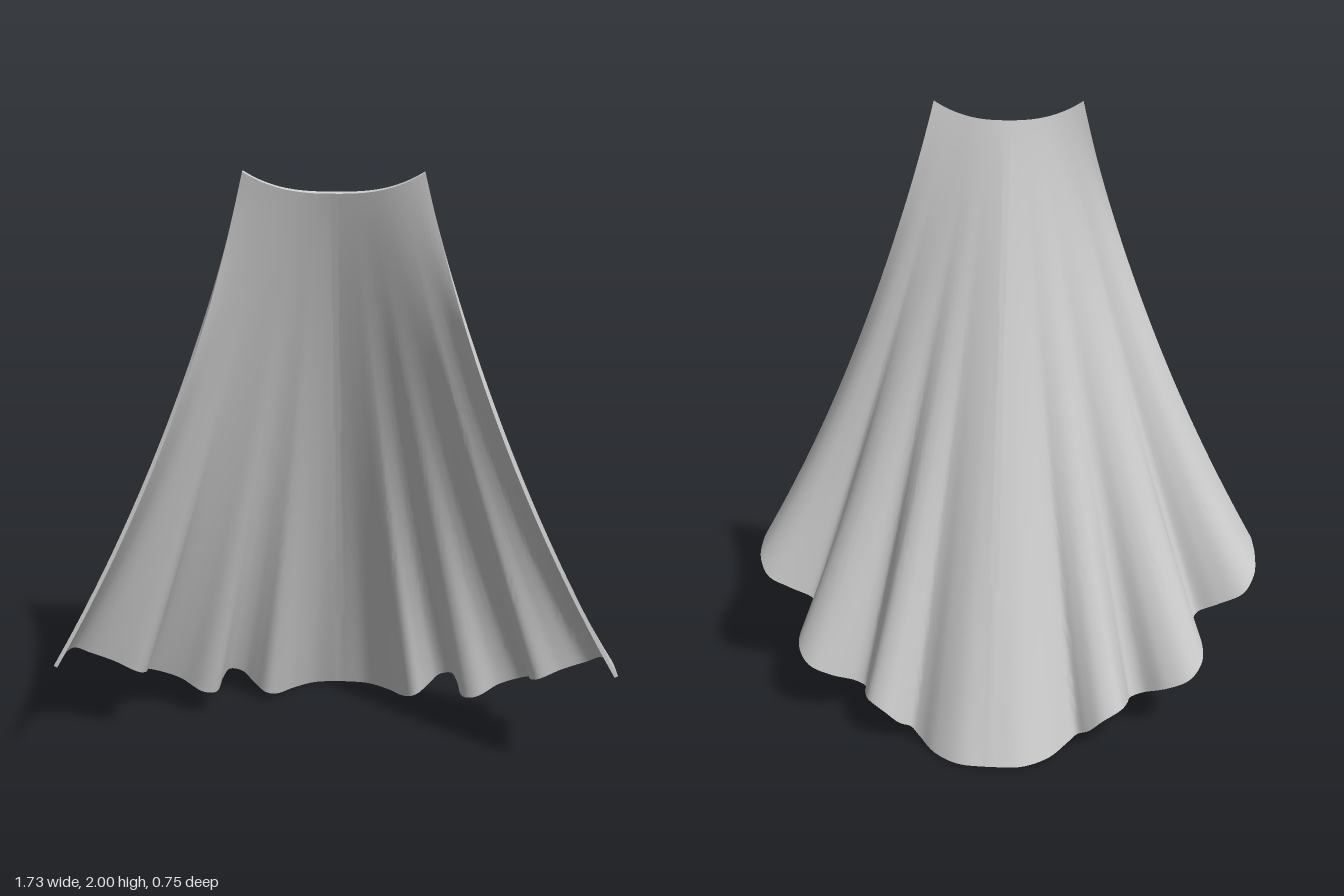
import * as THREE from 'three';
import { toCreasedNormals } from 'three/addons/utils/BufferGeometryUtils.js';

const COLS = 240, ROWS = 56, THICKNESS = 0.012;

const curve = (pts) => new THREE.CatmullRomCurve3(pts.map((p) => new THREE.Vector3(...p)), false, 'centripetal');

// Pleated hem, from the middle of the back to the front edge (left half)
const hem = curve([
  [0, 0.005, -0.37], [0.1, 0.005, -0.36], [0.18, 0.01, -0.31], [0.235, 0.025, -0.245],
  [0.27, 0.045, -0.22], [0.31, 0.07, -0.24], [0.355, 0.115, -0.25], [0.405, 0.14, -0.225],
  [0.425, 0.135, -0.17], [0.44, 0.12, -0.1], [0.48, 0.13, -0.085], [0.56, 0.165, -0.115],
  [0.63, 0.195, -0.11], [0.67, 0.235, -0.06], [0.67, 0.275, 0.01], [0.645, 0.31, 0.08],
  [0.66, 0.33, 0.115], [0.74, 0.37, 0.112], [0.815, 0.405, 0.12], [0.85, 0.45, 0.165],
  [0.86, 0.485, 0.25], [0.86, 0.5, 0.372],
]);

// The same hem with the pleats ironed out
const smoothHem = curve([
  [0, 0.005, -0.37], [0.22, 0.03, -0.29], [0.41, 0.12, -0.18],
  [0.59, 0.22, -0.03], [0.75, 0.37, 0.14], [0.86, 0.5, 0.372],
]);

// Point on the cloth: u runs -1..1 across, t runs 0..1 from neckline to hem
function clothPoint(u, t) {
  const side = Math.sign(u), a = Math.abs(u);
  const top = new THREE.Vector3(0.24 * a, 1.94 + 0.06 * a ** 2.5, 0.305 + 0.03 * Math.sin(a * Math.PI / 2) ** 2);
  const base = smoothHem.getPointAt(a);
  const pleat = hem.getPointAt(a).sub(base);
  const flare = t - 0.4 * a * a * t * (1 - t);
  const p = new THREE.Vector3(
    THREE.MathUtils.lerp(top.x, base.x, flare),
    THREE.MathUtils.lerp(top.y, base.y, t),
    THREE.MathUtils.lerp(top.z, base.z, t) - 0.27 * a ** 4 * t * (1 - t) ** 2,
  );
  p.addScaledVector(pleat, t ** 2.5); // pleats deepen towards the hem
  p.x *= side;
  return p;
}

function clothGeometry() {
  const w = COLS + 1, count = w * (ROWS + 1);
  const mid = [];
  for (let j = 0; j <= ROWS; j++)
    for (let i = 0; i <= COLS; i++) mid.push(...clothPoint((2 * i) / COLS - 1, j / ROWS));

  const lining = [], outer = [], rim = [];
  for (let j = 0; j < ROWS; j++)
    for (let i = 0; i < COLS; i++) {
      const a = j * w + i, b = a + w, c = a + 1, d = b + 1;
      lining.push(a, b, c, c, b, d);
      outer.push(...[a, c, b, c, d, b].map((k) => k + count));
    }

  // Normals of the middle sheet give the direction of the thickness
  const sheet = new THREE.BufferGeometry();
  sheet.setAttribute('position', new THREE.Float32BufferAttribute(mid, 3));
  sheet.setIndex(lining);
  sheet.computeVertexNormals();
  const n = sheet.attributes.normal.array;
  const shifted = (s) => mid.map((v, k) => v + s * n[k] * THICKNESS / 2);

  // Rim joining both layers along neckline, hem and front edges
  const strip = (p, q) => rim.push(p, q, p + count, q, q + count, p + count);
  for (let i = 0; i < COLS; i++) {
    strip(i, i + 1);
    strip(ROWS * w + i + 1, ROWS * w + i);
  }
  for (let j = 0; j < ROWS; j++) {
    strip((j + 1) * w, j * w);
    strip(j * w + COLS, (j + 1) * w + COLS);
  }

  const geometry = new THREE.BufferGeometry();
  geometry.setAttribute('position', new THREE.Float32BufferAttribute([...shifted(1), ...shifted(-1)], 3));
  geometry.setIndex([...lining, ...outer, ...rim]);
  return toCreasedNormals(geometry, Math.PI / 3);
}

export function createModel() {
  const group = new THREE.Group();
  group.name = 'cape';
  const material = new THREE.MeshStandardMaterial({ color: 0xcccccc, side: THREE.DoubleSide });
  const cloth = new THREE.Mesh(clothGeometry(), material);
  cloth.name = 'capeCloth';
  group.add(cloth);
  return group;
}
